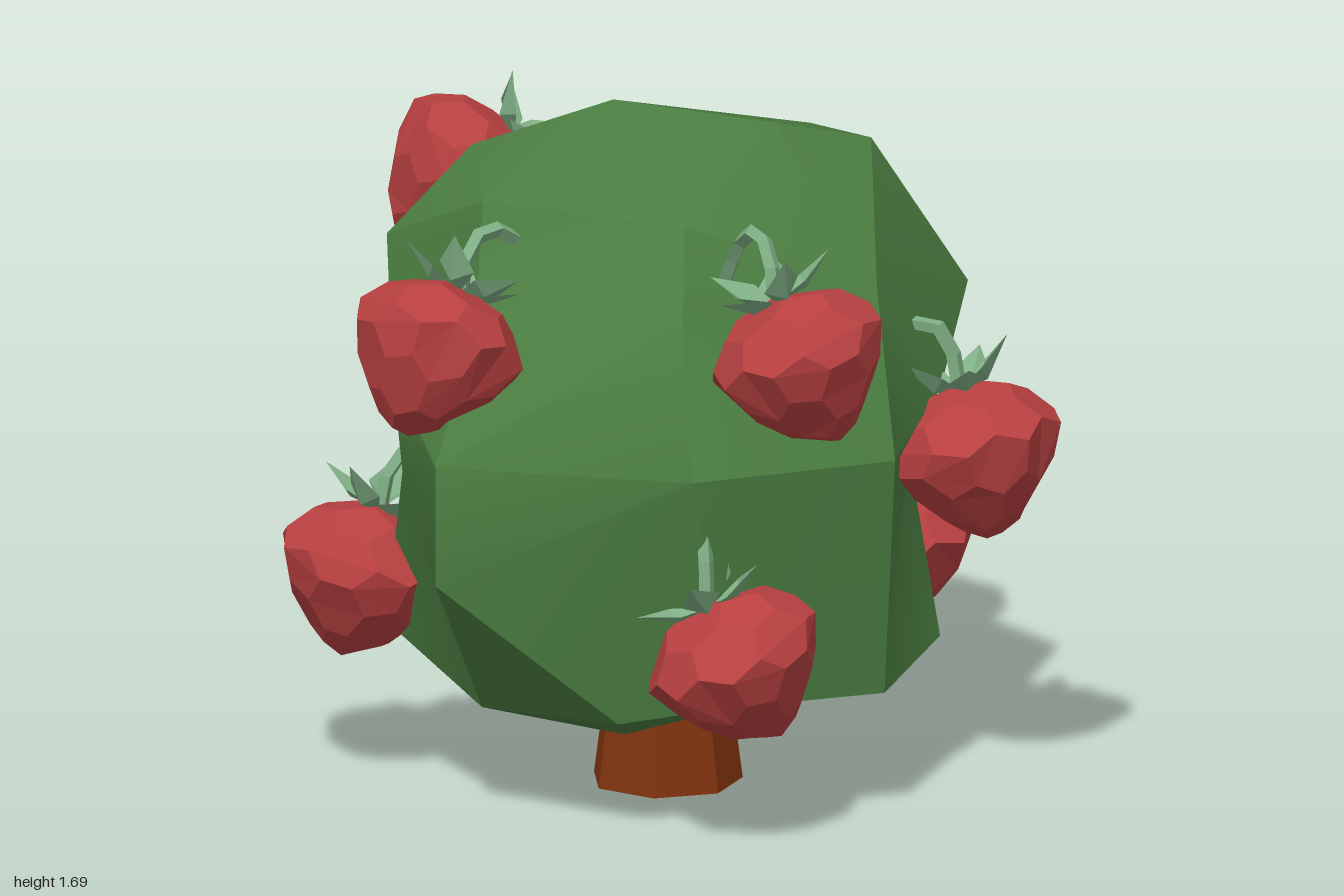
import * as THREE from 'three';
import { toCreasedNormals } from 'three/addons/utils/BufferGeometryUtils.js';
import { ConvexGeometry } from 'three/addons/geometries/ConvexGeometry.js';

const V = (x, y, z) => new THREE.Vector3(x, y, z);
const mat = (color, extra = {}) => new THREE.MeshStandardMaterial({ color, ...extra });
const FOLIAGE = mat(0x4a7c40);
const BARK = mat(0x80330f, { flatShading: true });
const FRUIT = mat(0xb84040, { flatShading: true });
const LEAF = mat(0x7fae84, { flatShading: true, side: THREE.DoubleSide });

function add(parent, name, geometry, material) {
  const mesh = new THREE.Mesh(geometry, material);
  mesh.name = name;
  parent.add(mesh);
  return mesh;
}

// Corners of the faceted crown, from the top down to the hollow round the trunk
const CROWN = [
  [-.1, 1.69, -.05], [.23, 1.65, .18], [.49, 1.58, .17], [.49, 1.53, -.18],
  [.14, 1.44, -.54], [-.4, 1.57, -.22], [-.52, 1.52, .1], [-.12, 1.48, .4],
  [.75, 1.19, .17], [.7, 1.15, -.14], [.46, 1.2, -.47], [-.1, 1.3, -.58],
  [-.61, 1.36, -.26], [.35, 1.3, .5], [-.2, 1.28, .56], [-.61, 1.24, .24],
  [-.28, 1.05, -.53], [-.69, 1.07, -.06], [-.8, .96, .42], [-.25, .93, .72],
  [.3, .92, .71], [.57, 1, .4], [.56, .8, .23], [.61, .92, -.35],
  [0, .91, -.73], [-.04, .7, -.62], [-.35, .77, -.28], [-.7, .84, .02], [.5, .72, -.45],
  [-.8, .66, .42], [-.58, .28, .22], [-.38, .3, .57], [-.1, .33, .65],
  [.3, .32, .65], [.6, .35, .33], [.6, .35, -.2], [.2, .27, -.6],
  [-.36, .45, -.52], [-.38, .26, -.52], [-.64, .4, -.2],
  [-.25, .2, .33], [.13, .18, -.17], [-.02, .42, .08], [.22, .27, .25], [-.28, .25, -.15],
];

// Triangulate the corner directions on a sphere, then push each corner out to its place
function crownGeometry() {
  const centre = V(0, .85, 0);
  const offsets = CROWN.map(p => V(...p).sub(centre));
  const dirs = offsets.map(o => o.clone().normalize());
  const g = new ConvexGeometry(dirs);
  const pos = g.attributes.position, v = V(0, 0, 0);
  for (let i = 0; i < pos.count; i++) {
    v.fromBufferAttribute(pos, i);
    let best = 0;
    dirs.forEach((d, k) => { if (d.dot(v) > dirs[best].dot(v)) best = k; });
    const p = offsets[best];
    pos.setXYZ(i, p.x, p.y + centre.y, p.z);
  }
  g.deleteAttribute('normal');
  return toCreasedNormals(g, .5);
}

// Berry: a ball of pentagons and hexagons, broad at the shoulder and tapered below
function berryGeometry() {
  const ico = new THREE.IcosahedronGeometry(1, 0).attributes.position;
  const points = [];
  for (let i = 0; i < ico.count; i++) {
    const next = i % 3 === 2 ? i - 2 : i + 1;
    const a = V(0, 0, 0).fromBufferAttribute(ico, i);
    const b = V(0, 0, 0).fromBufferAttribute(ico, next);
    points.push(a.lerp(b, 1 / 3).normalize());
  }
  const g = new ConvexGeometry(points);
  const pos = g.attributes.position;
  for (let i = 0; i < pos.count; i++) {
    const y = pos.getY(i);
    const w = .23 * (1 + .4 * Math.min(y - .2, 0));
    pos.setXYZ(i, pos.getX(i) * w, y > 0 ? y * .18 : y * .21, pos.getZ(i) * w);
  }
  g.computeVertexNormals();
  return g;
}

// Sepal: a folded, upturned blade
function sepalGeometry() {
  const g = new THREE.BufferGeometry();
  g.setAttribute('position', new THREE.Float32BufferAttribute([
    0, 0, 0, .08, .045, .05, .085, .01, 0, .08, .045, -.05, .17, .1, 0], 3));
  g.setIndex([0, 1, 2, 0, 2, 3, 1, 4, 2, 2, 4, 3]);
  g.computeVertexNormals();
  return g;
}

// Centre x, y, z of each berry, the sideways lean of its top in x and z, and its stem height
const BERRIES = [
  [-.735, 1.2, .27, .1, -.03, .9], [.01, 1.22, .8, -.06, -.04, 1], [.61, .85, .51, -.03, -.03, 1.1],
  [-.13, .46, .73, -.08, -.02, 1.7], [.73, .44, -.23, -.04, .03, 1.3], [.67, 1.07, -.36, -.13, .01, .4],
  [-.69, .52, -.22, .04, .01, 1], [-.035, .57, -.78, .04, .03, 1.1], [-.31, 1.41, -.47, .19, .08, .15],
];

export function createModel() {
  const model = new THREE.Group();
  model.name = 'berryBush';

  add(model, 'crown', crownGeometry(), FOLIAGE);

  // Trunk, narrowing up into the crown
  const trunk = add(model, 'trunk', new THREE.CylinderGeometry(.12, .188, .5, 7), BARK);
  trunk.position.set(-.02, .25, .08);
  trunk.rotation.y = .3;

  const berryGeo = berryGeometry(), sepalGeo = sepalGeometry();
  BERRIES.forEach(([x, y, z, dx, dz, stemHeight], i) => {
    const berry = new THREE.Group();
    berry.name = 'berry';
    berry.position.set(x, y, z);
    model.add(berry);

    // Fruit and sepals lean together
    const top = V(dx, .17, dz).setLength(.18);
    const body = new THREE.Group();
    body.name = 'berryBody';
    body.quaternion.setFromUnitVectors(V(0, 1, 0), top.clone().normalize());
    berry.add(body);
    add(body, 'fruit', berryGeo, FRUIT).rotation.y = i * 1.7;
    for (let k = 0; k < 5; k++) {
      const sepal = add(body, 'sepal', sepalGeo, LEAF);
      sepal.position.y = .165;
      sepal.rotation.y = i + k * Math.PI * .4;
      sepal.scale.set(k % 2 ? .85 : 1, k % 2 ? 1.1 : .7, 1);
    }

    // Stem arching over into the crown
    const inward = V(-x, 0, -z).normalize();
    const path = [[0, 0], [.03, .11], [.1, .14], [.19, .09], [.27, -.02]]
      .map(([r, h]) => top.clone().addScaledVector(inward, r).add(V(0, h * stemHeight, 0)));
    add(berry, 'stem',
      new THREE.TubeGeometry(new THREE.CatmullRomCurve3(path), 6, .02, 4), LEAF);
  });

  return model;
}
